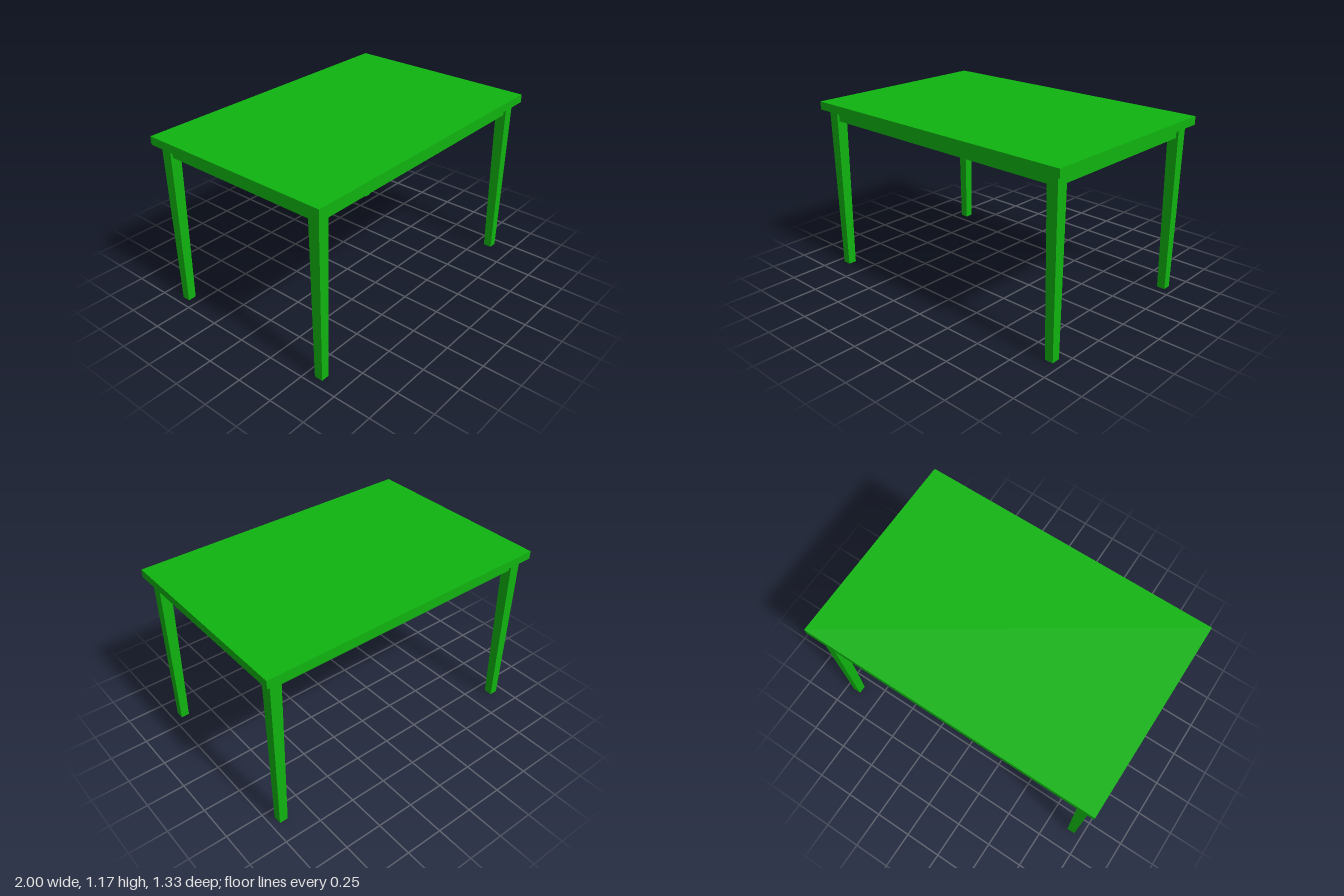
import * as THREE from 'three';

export function createModel() {
  const table = new THREE.Group();
  table.name = 'table';
  const paint = new THREE.MeshStandardMaterial({ color: 0x10b410, flatShading: true });

  const add = (name, geometry, x, y, z) => {
    const mesh = new THREE.Mesh(geometry, paint);
    mesh.name = name;
    mesh.position.set(x, y, z);
    table.add(mesh);
  };

  const legX = 0.921, legZ = 0.587;    // leg centres
  const legHeight = 1.112, legTop = 0.075, legFoot = 0.056;
  const topThickness = 0.054;
  const apronHeight = 0.071, apronThickness = 0.045;
  const apronY = legHeight - apronHeight / 2;

  // Table top
  add('tableTop', new THREE.BoxGeometry(2, topThickness, 1.332), 0, legHeight + topThickness / 2, 0);

  // Square legs tapering towards the foot
  const legGeometry = new THREE.CylinderGeometry(
    legTop * Math.SQRT1_2, legFoot * Math.SQRT1_2, legHeight, 4
  ).rotateY(Math.PI / 4);
  for (const [side, sx] of [['Left', 1], ['Right', -1]]) {
    for (const [end, sz] of [['front', 1], ['back', -1]]) {
      add(`${end}${side}Leg`, legGeometry, sx * legX, legHeight / 2, sz * legZ);
    }
  }

  // Apron rails running between the legs
  const longRail = new THREE.BoxGeometry(2 * legX - legTop, apronHeight, apronThickness);
  const shortRail = new THREE.BoxGeometry(apronThickness, apronHeight, 2 * legZ - legTop);
  add('frontApron', longRail, 0, apronY, legZ);
  add('backApron', longRail, 0, apronY, -legZ);
  add('leftApron', shortRail, legX, apronY, 0);
  add('rightApron', shortRail, -legX, apronY, 0);

  return table;
}
